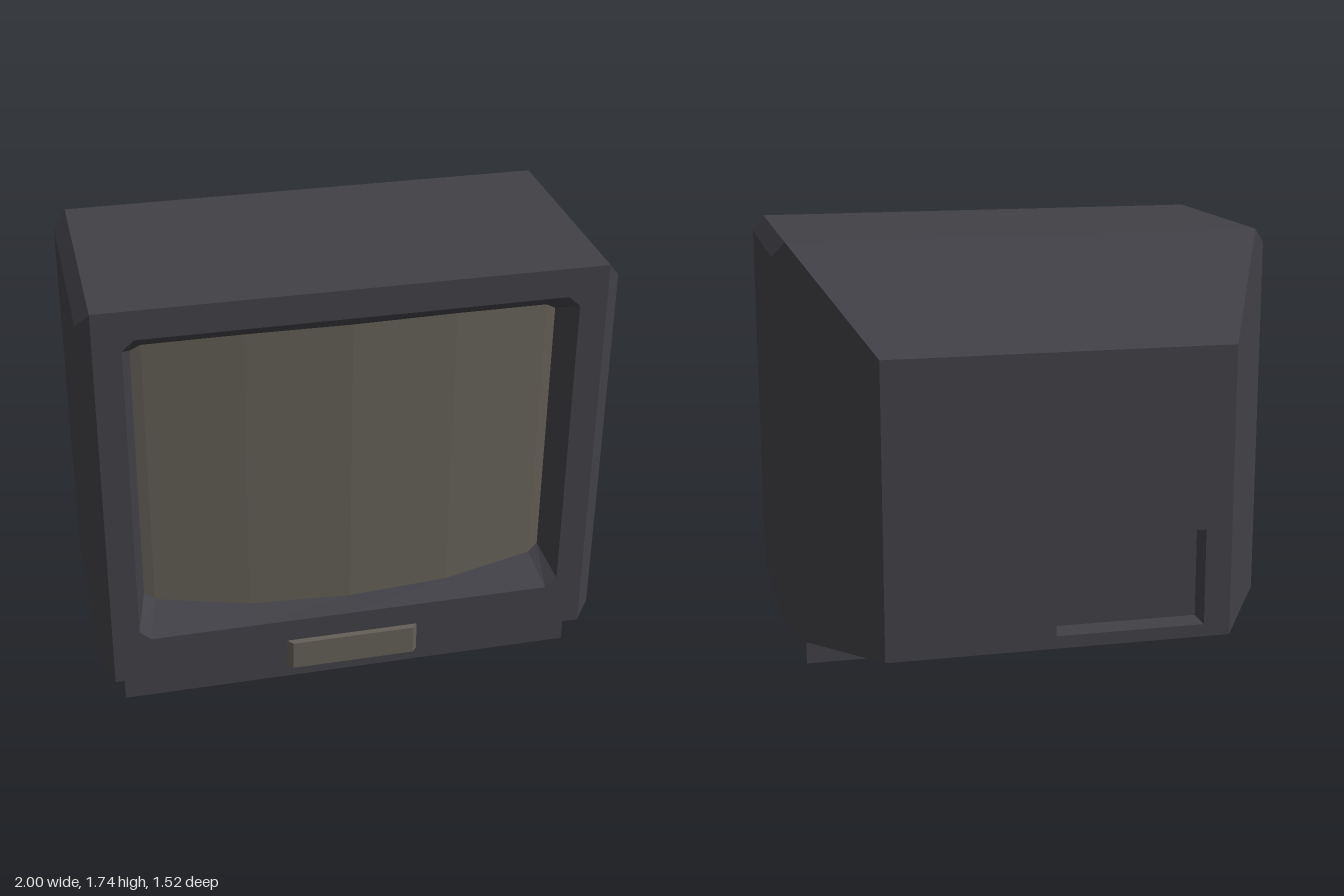
import * as THREE from 'three';

// Flat-shaded geometry from four-cornered faces (corners counter-clockwise from outside)
function quads(faces) {
  const pos = [];
  for (const [a, b, c, d] of faces) pos.push(...a, ...b, ...c, ...a, ...c, ...d);
  const g = new THREE.BufferGeometry();
  g.setAttribute('position', new THREE.Float32BufferAttribute(pos, 3));
  g.computeVertexNormals();
  return g;
}

// Walls between two loops, facing outward, or inward for recesses
function walls(near, far, inward = false) {
  return near.map((a, i) => {
    const j = (i + 1) % near.length;
    return inward ? [a, near[j], far[j], far[i]] : [a, far[i], far[j], near[j]];
  });
}

// Rectangle loop, counter-clockwise seen from +z
const rect = (x0, x1, y0, y1, z) => [[x0, y0, z], [x1, y0, z], [x1, y1, z], [x0, y1, z]];

// Flat plate with a hole
function plate(outer, hole) {
  const v = (loop) => loop.map((p) => new THREE.Vector2(p[0], p[1]));
  const shape = new THREE.Shape(v(outer));
  shape.holes.push(new THREE.Path(v(hole)));
  return new THREE.ShapeGeometry(shape);
}

export function createModel() {
  const group = new THREE.Group();
  const casing = new THREE.MeshStandardMaterial({ color: 0x414046 });
  casing.name = 'charcoal casing';
  const glass = new THREE.MeshStandardMaterial({ color: 0x645f57 });
  glass.name = 'grey brown glass';
  const add = (name, geometry, material = casing) => {
    const mesh = new THREE.Mesh(geometry, material);
    mesh.name = name;
    group.add(mesh);
  };

  const FRONT = 0.735, MID = -0.2, BACK = -0.76;
  const frontLoop = rect(-0.95, 0.95, 0.13, 1.735, FRONT);
  const midLoop = rect(-0.95, 0.95, 0.13, 1.735, MID);
  const backLoop = rect(-0.68, 0.68, 0.22, 1.375, BACK);

  // Cabinet top and bottom, and the tapering rear housing
  const shell = walls(frontLoop, midLoop);
  add('cabinetTopAndBottom', quads([shell[0], shell[2]]));
  add('rearHousing', quads(walls(midLoop, backLoop)));

  // Raised side panels with bevelled rims
  for (const s of [1, -1]) {
    const loop = (x, y0, y1, z0, z1) => {
      const l = [[s * x, y0, z0], [s * x, y0, z1], [s * x, y1, z1], [s * x, y1, z0]];
      return s > 0 ? l : l.reverse();
    };
    const rim = loop(0.95, 0.13, 1.735, FRONT, MID);
    const face = loop(1, 0.19, 1.675, 0.695, -0.16);
    add(s > 0 ? 'leftPanel' : 'rightPanel', quads([...walls(face, rim), face]));
  }

  // Bulging screen: columns of x, lower y, upper y, z
  const half = [[0, 0.365, 1.57, 0.685], [0.4, 0.37, 1.562, 0.662],
    [0.765, 0.405, 1.53, 0.602], [0.805, 0.435, 1.505, 0.59]];
  const columns = [...half.slice(1).reverse().map(([x, ...r]) => [-x, ...r]), ...half];
  const low = columns.map(([x, y0, , z]) => [x, y0, z]);
  const high = columns.map(([x, , y1, z]) => [x, y1, z]);
  add('screen', quads(low.slice(1).map((p, i) => [low[i], p, high[i + 1], high[i]])), glass);

  // Front opening with clipped corners, and the recess down to the screen
  const openX = [-0.845, -0.8, -0.4, 0, 0.4, 0.8, 0.845];
  const isEnd = (i) => i === 0 || i === 6;
  const opening = [
    ...openX.map((x, i) => [x, isEnd(i) ? 0.355 : 0.315, FRONT]),
    ...openX.map((x, i) => [x, isEnd(i) ? 1.58 : 1.62, FRONT]).reverse(),
  ];
  add('screenRecess', quads(walls(opening, [...low, ...high.reverse()], true)));
  add('frontFrame', plate(frontLoop, opening).translate(0, 0, FRONT));

  // Back plate with a socket recess, offset to one side
  const socket = (z) => rect(-0.575, 0.018, 0.27, 0.655, z);
  const flip = (l) => l.map(([x, y]) => [-x, y]);
  add('backPlate', plate(flip(backLoop), flip(socket(BACK))).rotateY(Math.PI).translate(0, 0, BACK));
  const floor = socket(BACK + 0.11);
  add('socketRecess', quads([...walls(floor, socket(BACK), true), [...floor].reverse()]));

  // Plinth
  add('base', new THREE.BoxGeometry(1.82, 0.13, 0.815).translate(0, 0.065, 0.2725));

  // Control flap with bevelled ends
  const flapFace = rect(-0.245, 0.245, 0.1, 0.22, 0.76);
  const flapMid = rect(-0.265, 0.265, 0.098, 0.22, FRONT);
  const flapBack = rect(-0.265, 0.265, 0.095, 0.22, 0.68);
  add('controlFlap', quads([flapFace, ...walls(flapFace, flapMid), ...walls(flapMid, flapBack)]), glass);

  return group;
}
